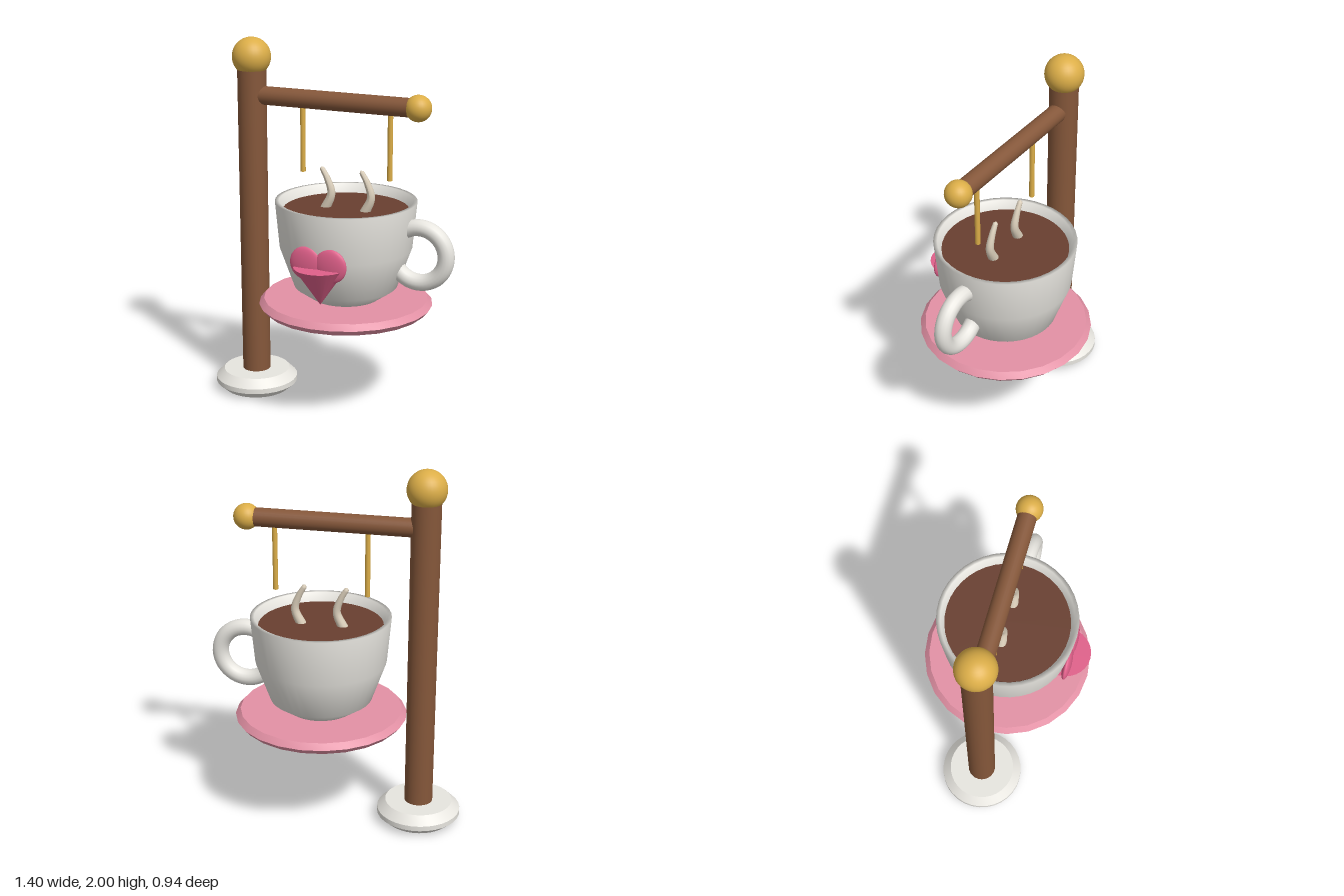
import * as THREE from 'three';
import { toCreasedNormals } from 'three/addons/utils/BufferGeometryUtils.js';

const material = (name, color, side = THREE.FrontSide) => {
  const m = new THREE.MeshStandardMaterial({ color, side });
  m.name = name;
  return m;
};

export function createModel() {
  const model = new THREE.Group();
  model.name = 'hangingCupSign';

  const wood = material('wood', 0x85573a);
  const gold = material('gold', 0xdcae48);
  const white = material('porcelain', 0xe9e7e1, THREE.DoubleSide);
  const pink = material('saucerPink', 0xe391a5);
  const rose = material('heartRose', 0xe0608a);
  const coffeeBrown = material('coffeeBrown', 0x693f30);
  const steamBeige = material('steamBeige', 0xd8ccb8);

  const add = (name, geometry, mat, x = 0, y = 0, z = 0, parent = model) => {
    const mesh = new THREE.Mesh(geometry, mat);
    mesh.name = name;
    mesh.position.set(x, y, z);
    parent.add(mesh);
    return mesh;
  };
  const lathe = (profile, segments) =>
    new THREE.LatheGeometry(profile.map(([r, y]) => new THREE.Vector2(r, y)), segments);

  // Stand: bevelled foot, post, arm and ball finials
  const postX = -0.475;
  const foot = lathe([[0, 0], [0.185, 0], [0.23, 0.04], [0.23, 0.068], [0.185, 0.113], [0, 0.113]], 32);
  add('foot', toCreasedNormals(foot, 0.5), white, postX);
  add('post', new THREE.CylinderGeometry(0.078, 0.078, 1.77, 24), wood, postX, 0.985);
  add('postFinial', new THREE.SphereGeometry(0.105, 32, 20), gold, postX, 1.895);
  add('arm', new THREE.CylinderGeometry(0.05, 0.05, 0.92, 24), wood, 0.02, 1.69).rotation.z = Math.PI / 2;
  add('armFinial', new THREE.SphereGeometry(0.07, 28, 18), gold, 0.48, 1.69);

  // Hanging rods
  for (const x of [-0.173, 0.328]) {
    add('hangingRod', new THREE.CylinderGeometry(0.014, 0.014, 0.375, 12), gold, x, 1.4825);
  }

  // Cup assembly, centred on its own axis
  const cup = new THREE.Group();
  cup.name = 'cupAndSaucer';
  cup.position.x = 0.08;
  model.add(cup);

  const saucer = lathe([[0, 0.563], [0.445, 0.563], [0.472, 0.594], [0.445, 0.625], [0, 0.625]], 24);
  add('saucer', toCreasedNormals(saucer, 0.5), pink, 0, 0, 0, cup);

  const wall = [[0, 0.622], [0.18, 0.622], [0.28, 0.692], [0.357, 0.91], [0.38, 1.165], [0.358, 1.165], [0.335, 1.1]];
  add('cupBody', lathe(wall, 40), white, 0, 0, 0, cup);
  add('coffee', new THREE.CylinderGeometry(0.338, 0.335, 0.02, 40), coffeeBrown, 0, 1.105, 0, cup);

  // Handle: open ring whose ends sink into the cup wall
  const arc = Math.PI * 5 / 3;
  const handle = add('handle', new THREE.TorusGeometry(0.15, 0.045, 16, 40, arc), white, 0.42, 0.91, 0, cup);
  handle.rotation.z = -arc / 2;

  // Heart: two flattened lobes above a downward cone
  for (const side of [-1, 1]) {
    const lobe = add('heartLobe', new THREE.SphereGeometry(0.09, 24, 16), rose, side * 0.07, 0.906, 0.357, cup);
    lobe.scale.z = 0.27;
  }
  add('heartPoint', new THREE.ConeGeometry(0.14, 0.205, 28), rose, 0, 0.783, 0.33, cup).rotation.x = Math.PI;

  // Steam: curved tubes, narrowing upward and closed at the tip
  const path = new THREE.CatmullRomCurve3([
    [-0.045, 1.1], [-0.007, 1.19], [-0.028, 1.265], [-0.067, 1.333],
  ].map(([x, y]) => new THREE.Vector3(x, y, 0)));
  const steps = 24, sides = 12;
  const steam = new THREE.TubeGeometry(path, steps, 0.028, sides);
  const position = steam.attributes.position;
  const point = new THREE.Vector3();
  for (let i = 0; i < position.count; i++) {
    const ring = Math.floor(i / (sides + 1));
    const t = ring / steps;
    const centre = path.getPointAt(t);
    point.fromBufferAttribute(position, i).sub(centre);
    point.multiplyScalar(ring === steps ? 0 : 1 - 0.55 * t).add(centre);
    position.setXYZ(i, point.x, point.y, point.z);
  }
  steam.computeVertexNormals();
  for (const x of [0, 0.23]) add('steam', steam, steamBeige, x);

  return model;
}
